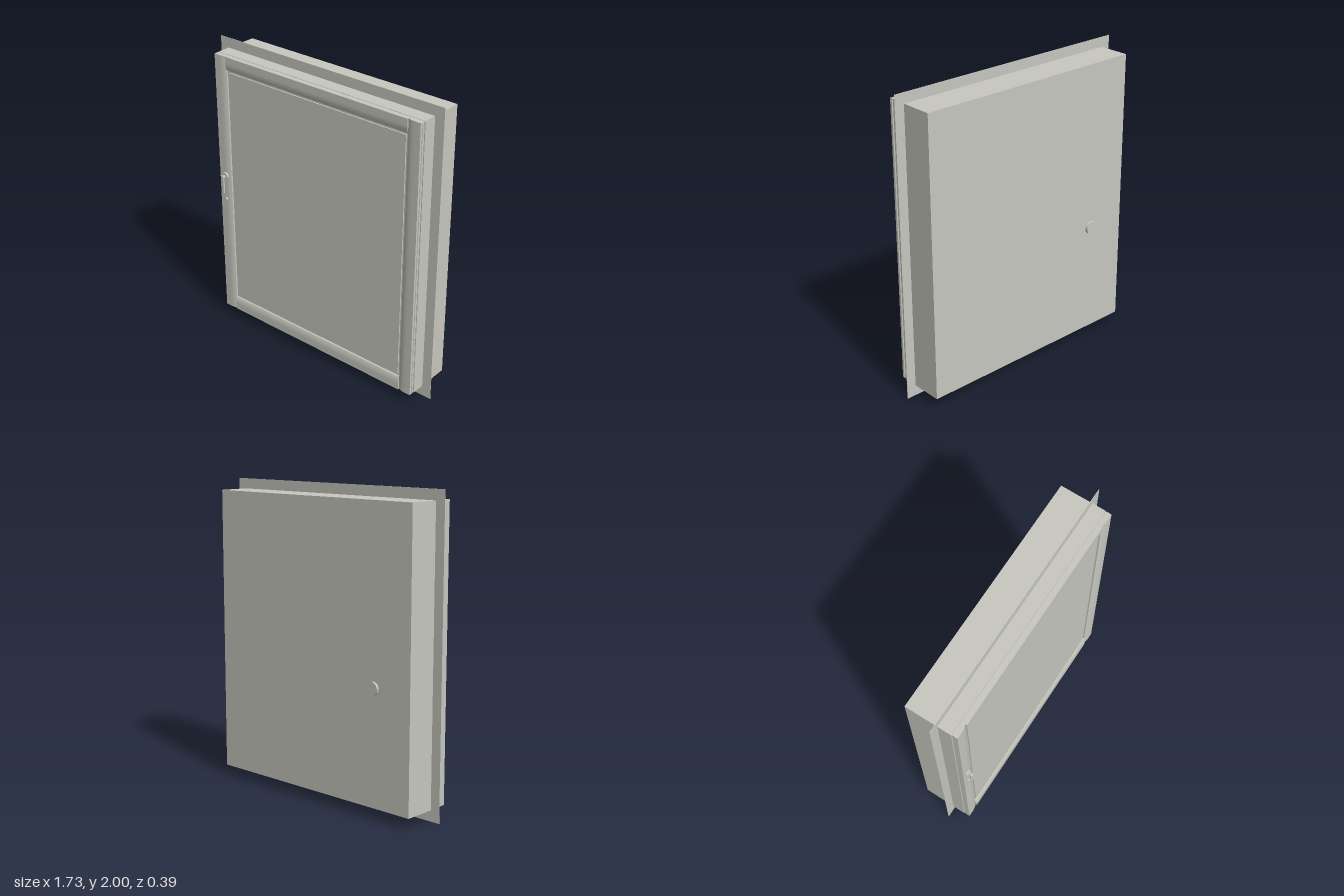
import * as THREE from 'three';
import { toCreasedNormals } from 'three/addons/utils/BufferGeometryUtils.js';
import { RoundedBoxGeometry } from 'three/addons/geometries/RoundedBoxGeometry.js';

const MID_Y = 1.0025, HALF_W = 0.797, HALF_H = 0.931;

export function createModel() {
  const model = new THREE.Group();
  model.name = 'wallCabinet';
  const paint = new THREE.MeshStandardMaterial({ color: 0xc8c8c0 });
  paint.name = 'warm grey paint';

  const add = (name, geometry, x, y, z, parent = model) => {
    const mesh = new THREE.Mesh(geometry, paint);
    mesh.name = name;
    mesh.position.set(x, y, z);
    parent.add(mesh);
    return mesh;
  };
  // Box given by its size and its back and front z
  const slab = (name, w, h, z0, z1, y = MID_Y, x = 0) =>
    add(name, new THREE.BoxGeometry(w, h, z1 - z0), x, y, (z0 + z1) / 2);
  // Disc lying against a wall, between two z values
  const disc = (name, r, x, y, z0, z1) =>
    add(name, new THREE.CylinderGeometry(r, r, z1 - z0, 32).rotateX(Math.PI / 2), x, y, (z0 + z1) / 2);

  // Cabinet body, wall flange and the seal behind the door
  slab('body', 1.6, 2 * HALF_H, -0.18, 0.123);
  slab('wallFlange', 1.73, 2, 0.031, 0.034, 1);
  slab('doorSeal', 1.57, 1.84, 0.123, 0.128);

  // Door: backing, raised centre panel and four profiled bars
  slab('doorBacking', 1.43, 1.7, 0.128, 0.142);
  slab('doorPanel', 1.38, 1.649, 0.142, 0.15);

  const profile = new THREE.Shape();
  profile.moveTo(0, 0.127);
  profile.lineTo(0.091, 0.127);
  profile.lineTo(0.091, 0.153);
  profile.quadraticCurveTo(0.07, 0.163, 0.04, 0.163);
  profile.lineTo(0, 0.163);
  profile.closePath();
  const toBar = new THREE.Matrix4().makeBasis(
    new THREE.Vector3(0, 1, 0), new THREE.Vector3(0, 0, 1), new THREE.Vector3(1, 0, 0));
  const frame = new THREE.Group();
  frame.name = 'doorFrame';
  frame.position.y = MID_Y;
  model.add(frame);
  ['bottomRail', 'leftStile', 'topRail', 'rightStile'].forEach((name, i) => {
    const stile = i % 2 === 1;
    const length = stile ? 2 * HALF_H : 1.412;
    const bar = new THREE.ExtrudeGeometry(profile, { depth: length, bevelEnabled: false, curveSegments: 8 });
    bar.translate(stile ? -HALF_W : -HALF_H, 0, -length / 2).applyMatrix4(toBar);
    add(name, toCreasedNormals(bar, 0.5), 0, 0, 0, frame).rotation.z = i * Math.PI / 2;
  });

  // Long hinge made of knuckles down the door's left edge
  const knuckles = 14, step = 1.85 / knuckles;
  const knuckle = new THREE.CylinderGeometry(0.006, 0.006, step - 0.004, 12);
  for (let i = 0; i < knuckles; i++)
    add('hingeKnuckle', knuckle, 0.798, MID_Y - 0.925 + (i + 0.5) * step, 0.142);

  // Lever handle with rosette and neck, and the lock below
  disc('handleRosette', 0.027, -0.751, 1.093, 0.16, 0.174);
  disc('handleNeck', 0.011, -0.751, 1.09, 0.17, 0.188);
  add('handleLever', new RoundedBoxGeometry(0.027, 0.131, 0.012, 3, 0.005), -0.751, 1.038, 0.19);
  disc('lock', 0.012, -0.751, 0.92, 0.16, 0.173);

  // Round cap on the back wall
  disc('backCap', 0.042, -0.518, 0.817, -0.197, -0.175);

  return model;
}
